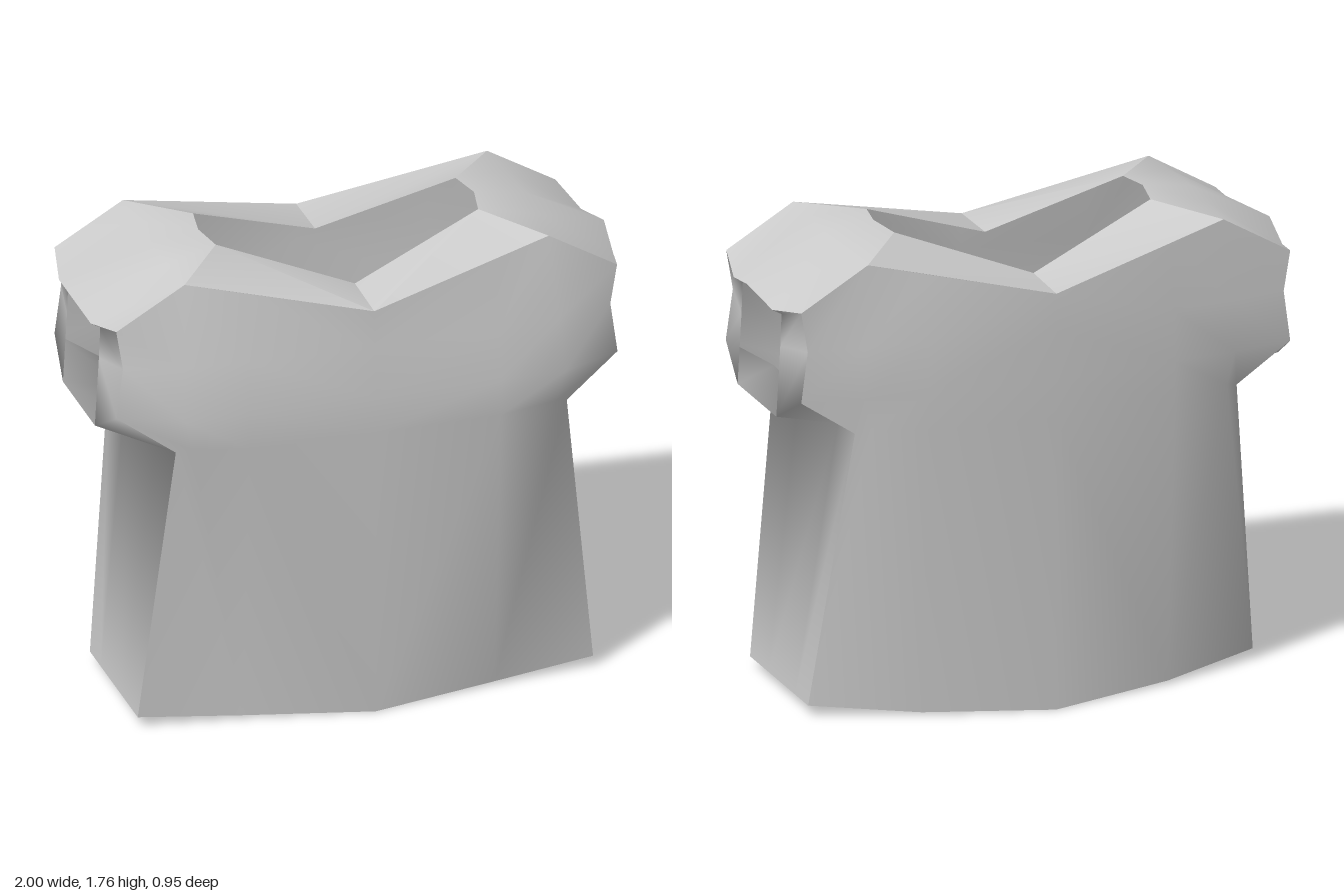
import * as THREE from 'three';
import { toCreasedNormals } from 'three/addons/utils/BufferGeometryUtils.js';

const material = new THREE.MeshStandardMaterial({ color: 0xcccccc, side: THREE.DoubleSide });

// Skin rows of points (x >= 0 half) with quads and mirror them to the other half.
// Repeated points collapse a quad into a triangle.
function skin(name, crease, ...lofts) {
  const pos = [];
  const tri = (a, b, c) => {
    const [A, B, C] = [a, b, c].map((p) => new THREE.Vector3(...p));
    if (B.clone().sub(A).cross(C.clone().sub(A)).length() < 1e-6) return;
    pos.push(...a, ...b, ...c);
    for (const p of [a, c, b]) pos.push(-p[0], p[1], p[2]);
  };
  for (const rows of lofts) {
    for (let r = 0; r < rows.length - 1; r++) {
      for (let c = 0; c < rows[r].length - 1; c++) {
        const a = rows[r][c], b = rows[r][c + 1], d = rows[r + 1][c], e = rows[r + 1][c + 1];
        tri(a, b, e);
        tri(a, e, d);
      }
    }
  }
  const geometry = new THREE.BufferGeometry();
  geometry.setAttribute('position', new THREE.Float32BufferAttribute(pos, 3));
  const mesh = new THREE.Mesh(toCreasedNormals(geometry, crease), material);
  mesh.name = name;
  return mesh;
}

export function createModel() {
  const shirt = new THREE.Group();
  shirt.name = 'shirt';

  // Outline shared by front and back: hem, armpit, sleeve bottom, sleeve middle, shoulder
  const outline = [
    [[0, 0], [0.47, 0.012], [0.47, 0.012], [0.85, 0.04]],
    [[0, 1.1], [0.47, 1.1], [0.68, 1.12], [0.73, 1.1]],
    [[0, 1.24], [0.47, 1.24], [0.71, 1.24], [0.935, 1.24]],
    [[0, 1.43], [0.47, 1.43], [0.7, 1.43], [0.91, 1.43]],
    [[0, 1.57], [0.47, 1.68], [0.68, 1.73], [0.935, 1.58]],
  ];
  const frontZ = [
    [0.477, 0.39, 0.39, 0.35], [0.478, 0.47, 0.455, 0.42], [0.478, 0.475, 0.472, 0.37],
    [0.465, 0.445, 0.43, 0.365], [0.455, 0.393, 0.365, 0.365],
  ];
  const backZ = [
    [-0.475, -0.36, -0.36, -0.22], [-0.475, -0.43, -0.405, -0.37], [-0.475, -0.432, -0.41, -0.37],
    [-0.475, -0.428, -0.4, -0.37], [-0.475, -0.403, -0.37, -0.37],
  ];
  const panel = (zs) => outline.map((row, r) => row.map(([x, y], c) => [x, y, zs[r][c]]));
  const front = panel(frontZ), back = panel(backZ);
  shirt.add(skin('frontPanel', 0.8, front));
  shirt.add(skin('backPanel', 0.8, [...back].reverse()));

  // Collar slopes and shoulders around the neck opening
  const neck = (z0, z1, s) => [[0, 1.575, z0], [0.49, 1.755, z1], [0.69, 1.735, 0.19 * s], [0.975, 1.54, 0.19 * s]];
  const neckFront = neck(0.225, 0.13, 1), neckBack = neck(-0.25, -0.14, -1);
  const neckSide = [[0.515, 1.76, 0], [0.7, 1.735, 0], [1, 1.58, 0]];
  const shoulderEdge = (p) => [p[4][2], p[4][2], p[4][3]];
  shirt.add(skin('collar', 0.4,
    [[front[4][0], front[4][2]], neckFront.slice(0, 2)],
    [neckBack.slice(0, 2), [back[4][0], back[4][2]]]));
  shirt.add(skin('shoulders', 0.8,
    [shoulderEdge(front), neckFront.slice(1), neckSide, neckBack.slice(1), shoulderEdge(back)]));

  // Side panels flowing into the sleeve cuffs around the square arm openings
  const sideRow = (r, x, y, z1, z2) => [front[r][3], [x, y, z1], [x, y, z2], back[r][3]];
  const hem = sideRow(0, 0.85, 0.04, 0.17, -0.09);
  const armpit = sideRow(1, 0.725, 1.08, 0.19, -0.19);
  const hole = (z) => [[0.96, 1.135, z], [0.945, 1.4, z], [0.94, 1.52, z]];
  const holeF = hole(0.19), holeB = hole(-0.19);
  const jambFront = holeF.map((p, i) => [front[2 + i][3], p]);
  const jambBack = holeB.map((p, i) => [p, back[2 + i][3]]);
  jambFront.push([front[4][3], neckFront[3]]);
  jambBack.push([neckBack[3], back[4][3]]);
  shirt.add(skin('sidesAndSleeveCuffs', 1.75, jambFront, jambBack,
    [[holeF[2], [0.94, 1.52, 0], holeB[2]], [neckFront[3], neckSide[2], neckBack[3]]],
    [hem, armpit, [front[2][3], holeF[0], holeB[0], back[2][3]]]));

  // Underside of the hem with its six-sided opening
  const hemHole = [
    [0, 0, 0.26], [0.465, 0, 0.26], [0.465, 0, 0.26], [0.643, 0.01, 0],
    [0.643, 0.01, 0], [0.465, 0, -0.3], [0.465, 0, -0.3], [0, 0, -0.3],
  ];
  shirt.add(skin('hem', 0.7, [hemHole, [...front[0], ...[...back[0]].reverse()]]));

  return shirt;
}
